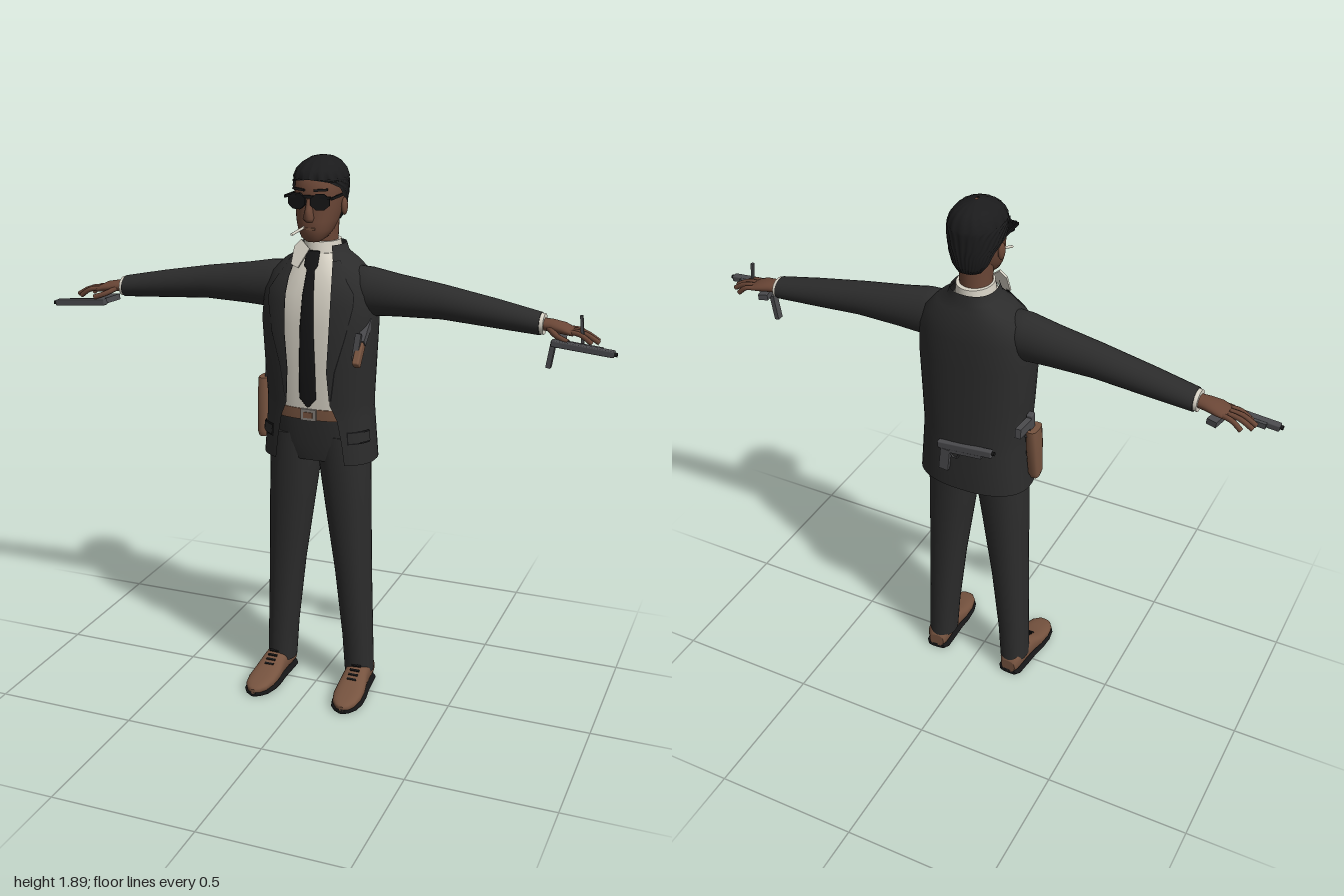
import * as THREE from 'three';
import { RoundedBoxGeometry } from 'three/addons/geometries/RoundedBoxGeometry.js';

const paint = (name, color) => new THREE.MeshStandardMaterial({ name, color, side: THREE.DoubleSide });

export function createModel() {
  const model = new THREE.Group();
  model.name = 'suitedMan';
  const suit = paint('suit charcoal', 0x2c2c2c), black = paint('black', 0x151516);
  const shirt = paint('shirt white', 0xd8d3c6), skin = paint('skin brown', 0x6a4636);
  const hairMat = paint('hair black', 0x1b1b1c), leather = paint('leather brown', 0x76533f);
  const metal = paint('gunmetal', 0x4b4b4e), silver = paint('buckle grey', 0x85807a);

  const add = (name, geo, mat, parent = model) => {
    const m = new THREE.Mesh(geo, mat);
    m.name = name;
    parent.add(m);
    return m;
  };
  // Reflected copy with corner order restored
  const mirror = (geo) => {
    const g = geo.index ? geo.clone() : geo.toNonIndexed();
    g.scale(-1, 1, 1);
    if (!g.index) g.setIndex([...Array(g.attributes.position.count).keys()]);
    const ix = g.index.array;
    for (let i = 0; i < ix.length; i += 3) [ix[i], ix[i + 1]] = [ix[i + 1], ix[i]];
    return g;
  };
  const both = (name, geo, mat) => {
    add(name + 'Left', geo, mat);
    add(name + 'Right', mirror(geo), mat);
  };
  const box = (w, h, d, x, y, z, rx = 0, ry = 0, rz = 0) =>
    new THREE.BoxGeometry(w, h, d).rotateX(rx).rotateY(ry).rotateZ(rz).translate(x, y, z);
  const tube = (r, ...pts) => new THREE.TubeGeometry(
    new THREE.CatmullRomCurve3(pts.map((p) => new THREE.Vector3(...p))), 8, r, 8);

  // Skin over a stack of point rings
  function loft(rings, closed = true, caps = closed) {
    const pos = rings.flat(2), idx = [], n = rings[0].length, cols = closed ? n : n - 1;
    for (let k = 0; k < rings.length - 1; k++) for (let i = 0; i < cols; i++) {
      const a = k * n + i, b = k * n + (i + 1) % n;
      idx.push(a, b, a + n, b, b + n, a + n);
    }
    if (caps) [rings[0], rings[rings.length - 1]].forEach((ring, end) => {
      const base = pos.length / 3;
      pos.push(...ring.flat());
      for (let i = 1; i < n - 1; i++) idx.push(base, base + (end ? i : i + 1), base + (end ? i + 1 : i));
    });
    const g = new THREE.BufferGeometry();
    g.setAttribute('position', new THREE.Float32BufferAttribute(pos, 3));
    g.setIndex(idx);
    g.computeVertexNormals();
    return g;
  }
  const pw = (v, e) => Math.sign(v) * Math.abs(v) ** e;
  const ovalPoint = (a, y, rx, rz, cx, cz, p) =>
    [cx + rx * pw(Math.sin(a), 2 / p), y, cz + rz * pw(Math.cos(a), 2 / p)];
  const oval = (y, rx, rz, cx, cz, p = 2, n = 28) =>
    Array.from({ length: n }, (_, i) => ovalPoint(i / n * Math.PI * 2, y, rx, rz, cx, cz, p));
  // Rows: height, half width, front z, back z
  const body = (rows, p = 2) => loft(rows.map(([y, rx, f, b]) => oval(y, rx, (f - b) / 2, 0, (f + b) / 2, p)));

  // Jacket: height, half width, front z, back z, half width of the opening
  const jacketRows = [
    [0.87, 0.2, 0.08, -0.18, 0.125], [0.95, 0.193, 0.08, -0.18, 0.115], [1.03, 0.187, 0.08, -0.178, 0.1],
    [1.08, 0.185, 0.083, -0.177, 0.078], [1.2, 0.192, 0.09, -0.175, 0.07], [1.35, 0.2, 0.095, -0.175, 0.08],
    [1.45, 0.194, 0.08, -0.175, 0.08], [1.51, 0.168, 0.058, -0.168, 0.075], [1.55, 0.125, 0.035, -0.155, 0.068],
    [1.575, 0.085, 0.018, -0.148, 0.058], [1.605, 0.074, 0.01, -0.143, 0.052]];
  const jacketAt = (y) => {
    let k = 0;
    while (k < jacketRows.length - 2 && jacketRows[k + 1][0] < y) k++;
    const a = jacketRows[k], b = jacketRows[k + 1], t = (y - a[0]) / (b[0] - a[0]);
    return a.map((v, i) => v + (b[i] - v) * t);
  };
  const P = 2.4;
  const jacketPoint = (y, ang, off = 0) => {
    const [, rx, f, b] = jacketAt(y);
    return ovalPoint(ang, y, rx + off, (f - b) / 2 + off, 0, (f + b) / 2, P);
  };
  const edge = (y) => { const r = jacketAt(y); return Math.asin((r[4] / r[1]) ** (P / 2)); };
  const arc = (y, a0, a1, n, off) => Array.from({ length: n + 1 }, (_, i) => jacketPoint(y, a0 + (a1 - a0) * i / n, off));
  add('jacket', loft(jacketRows.map(([y]) => arc(y, edge(y), Math.PI * 2 - edge(y), 40, 0)), false), suit);

  // Lapels with dark edging, laid on the jacket
  const lapel = (off, grow) => loft([[1.1, 0.01], [1.2, 0.12], [1.32, 0.28], [1.42, 0.42], [1.46, 0.44], [1.5, 0.3], [1.56, 0.25]]
    .map(([y, w]) => arc(y, edge(y) - 0.01, edge(y) + w + grow, 6, off)), false);
  both('lapelEdge', lapel(0.003, 0.03), black);
  both('lapel', lapel(0.006, 0), suit);
  // Pocket flaps
  both('pocketEdge', loft([0.945, 0.99].map((y) => arc(y, 0.68, 1.32, 6, 0.004)), false), black);
  both('pocketFlap', loft([0.951, 0.986].map((y) => arc(y, 0.7, 1.3, 6, 0.008)), false), suit);

  // Shirt, collar and tie
  add('shirt', body([[1.03, 0.155, 0.065, -0.15], [1.2, 0.16, 0.075, -0.15], [1.35, 0.165, 0.079, -0.15],
    [1.45, 0.155, 0.067, -0.15], [1.53, 0.1, 0.04, -0.135], [1.58, 0.062, 0.015, -0.13]], 2.6), shirt);
  add('shirtCollar', body([[1.56, 0.066, 0.018, -0.136], [1.617, 0.06, 0.01, -0.132]]), shirt);
  const wing = new THREE.Shape([[0.012, 1.595], [0.045, 1.625], [0.066, 1.6], [0.07, 1.54], [0.045, 1.53]]
    .map((p) => new THREE.Vector2(...p)));
  both('collarWing', new THREE.ExtrudeGeometry(wing, { depth: 0.008, bevelEnabled: false })
    .translate(0, -1.57, 0).rotateX(-0.35).translate(0, 1.57, 0.032), shirt);
  add('tie', loft([[1.07, 0.004, 0.076], [1.1, 0.03, 0.079], [1.2, 0.029, 0.085], [1.35, 0.024, 0.088], [1.45, 0.02, 0.076],
    [1.53, 0.014, 0.05], [1.545, 0.024, 0.048], [1.59, 0.024, 0.026]]
    .map(([y, w, z]) => oval(y, w, 0.006, 0, z, 2.5, 12))), black);

  // Trousers, belt and buckle
  add('hips', body([[0.87, 0.14, 0.045, -0.14], [0.93, 0.165, 0.055, -0.15], [1.04, 0.165, 0.062, -0.15]], 2.3), suit);
  add('belt', body([[1.022, 0.169, 0.07, -0.155], [1.06, 0.169, 0.07, -0.155]], 2.5), leather);
  add('buckle', box(0.055, 0.04, 0.008, 0, 1.041, 0.073), silver);
  add('buckleCentre', box(0.032, 0.02, 0.004, 0, 1.041, 0.078), leather);
  both('trouserLeg', loft([[0.06, 0.15, 0.05, 0.06, -0.045], [0.2, 0.143, 0.053, 0.062, -0.044], [0.45, 0.125, 0.063, 0.072, -0.042],
    [0.7, 0.104, 0.079, 0.084, -0.041], [0.85, 0.091, 0.088, 0.092, -0.042], [0.96, 0.085, 0.085, 0.094, -0.045]]
    .map(([y, cx, rx, rz, cz]) => oval(y, rx, rz, cx, cz, 2.2))), suit);

  // Shoes: length position, half width, top height
  const shoeRows = [[-0.107, 0.028, 0.06], [-0.09, 0.04, 0.095], [-0.03, 0.043, 0.105], [0.02, 0.045, 0.092], [0.07, 0.051, 0.066],
    [0.12, 0.051, 0.053], [0.16, 0.042, 0.044], [0.183, 0.025, 0.036], [0.191, 0.008, 0.028]];
  const shoe = (lo, top, grow) => loft(shoeRows.map(([z, w, h]) => {
    const hi = top ?? h;
    return oval(z, w + grow, (hi - lo) / 2, 0, -(hi + lo) / 2, 2.6);
  })).rotateX(Math.PI / 2).rotateY(0.06).translate(0.157, 0, 0);
  both('shoe', shoe(0.01, undefined, 0), leather);
  both('sole', shoe(0, 0.018, 0.005), black);
  for (let i = 0; i < 4; i++)
    both('lace', box(0.034, 0.006, 0.007, 0.159, 0.099 - i * 0.01, 0.015 + i * 0.016, 0.5), black);

  // Sleeves and cuffs: x, y, half height, half depth, z
  const limb = (rows) => loft(rows.map(([x, y, r, rz, z]) => oval(x, r, rz, -y, z))).rotateZ(-Math.PI / 2);
  both('sleeve', limb([[0.09, 1.472, 0.045, 0.05, -0.05], [0.13, 1.462, 0.076, 0.065, -0.05], [0.18, 1.454, 0.081, 0.071, -0.05],
    [0.27, 1.448, 0.07, 0.065, -0.052], [0.42, 1.438, 0.057, 0.057, -0.055], [0.6, 1.415, 0.047, 0.05, -0.057],
    [0.745, 1.395, 0.037, 0.043, -0.058]]), suit);
  both('shirtCuff', limb([[0.735, 1.397, 0.034, 0.038, -0.058], [0.757, 1.394, 0.034, 0.038, -0.058]]), shirt);

  // Hands
  both('palm', limb([[0.745, 1.395, 0.02, 0.026, -0.058], [0.78, 1.393, 0.02, 0.032, -0.058],
    [0.82, 1.387, 0.018, 0.04, -0.058], [0.85, 1.378, 0.012, 0.037, -0.058]]), skin);
  [[-0.092, 0.9], [-0.07, 0.93], [-0.048, 0.935], [-0.028, 0.915]].forEach(([z, x]) =>
    both('finger', tube(0.0085, [0.835, 1.383, z * 0.8 - 0.012], [(x + 0.84) / 2, 1.377, z], [x, 1.352, z]), skin));
  both('thumb', tube(0.0095, [0.775, 1.388, -0.035], [0.805, 1.372, -0.01], [0.845, 1.358, 0.004]), skin);

  // Neck and head
  add('neck', body([[1.54, 0.055, 0.0, -0.12], [1.62, 0.052, 0.0, -0.115], [1.69, 0.055, 0.005, -0.12]]), skin);
  add('head', body([[1.622, 0.022, 0.048, 0.005], [1.635, 0.042, 0.06, -0.03], [1.66, 0.057, 0.066, -0.07], [1.69, 0.067, 0.066, -0.1],
    [1.73, 0.075, 0.061, -0.125], [1.78, 0.08, 0.062, -0.14], [1.82, 0.078, 0.056, -0.142], [1.86, 0.058, 0.02, -0.12]], 2.2), skin);
  add('nose', loft([[1.69, 0.012, 0.064, 0.008], [1.702, 0.018, 0.068, 0.023], [1.73, 0.012, 0.064, 0.018], [1.765, 0.008, 0.06, 0.008]]
    .map(([y, rx, z, rz]) => oval(y, rx, rz, 0, z, 2, 12))), skin);
  add('mouth', box(0.042, 0.007, 0.006, 0, 1.668, 0.066), leather);
  both('ear', new THREE.SphereGeometry(1, 14, 10).scale(0.01, 0.029, 0.018).translate(0.081, 1.73, -0.045), skin);
  both('eyebrow', box(0.045, 0.007, 0.008, 0.038, 1.793, 0.058, 0, 0.25, 0.08), hairMat);

  // Combed hair: height, half width, front z, back z, start angle behind the face
  add('hair', loft([[1.675, 0.05, 0.0, -0.135, 2.2], [1.7, 0.068, 0.04, -0.148, 2.05], [1.74, 0.08, 0.06, -0.155, 1.9],
    [1.765, 0.084, 0.066, -0.156, 1.45], [1.795, 0.087, 0.068, -0.157, 1.2], [1.815, 0.087, 0.067, -0.157, 0.75],
    [1.825, 0.086, 0.065, -0.156, 0], [1.85, 0.077, 0.05, -0.147, 0], [1.87, 0.06, 0.025, -0.13, 0],
    [1.885, 0.035, -0.01, -0.1, 0], [1.892, 0.004, -0.04, -0.06, 0]].map(([y, rx, f, b, s]) => Array.from({ length: 65 }, (_, i) => {
    const a = s + (Math.PI * 2 - 2 * s) * i / 64, k = 1 + 0.018 * Math.cos(i * Math.PI / 2);
    return ovalPoint(a, y, rx * k, (f - b) / 2 * k, 0, (f + b) / 2, 2.2);
  })), false), hairMat);

  // Sunglasses and cigarette
  both('lens', new THREE.CylinderGeometry(1, 1, 0.008, 8).rotateY(Math.PI / 8).rotateX(Math.PI / 2)
    .scale(0.034, 0.028, 1).rotateY(0.18).translate(0.04, 1.757, 0.069), black);
  add('glassesBridge', box(0.15, 0.009, 0.008, 0, 1.772, 0.069), black);
  both('glassesArm', box(0.005, 0.009, 0.125, 0.08, 1.77, 0.01), black);
  add('cigarette', tube(0.0045, [-0.018, 1.671, 0.062], [-0.028, 1.664, 0.09], [-0.038, 1.656, 0.12]), shirt);

  // Pistol: barrel along dir, sights along up
  function pistol(name, at, dir, up, gripMat = metal) {
    const g = new THREE.Group();
    g.name = name;
    const x = new THREE.Vector3(...dir).normalize(), z = x.clone().cross(new THREE.Vector3(...up)).normalize();
    g.applyMatrix4(new THREE.Matrix4().makeBasis(x, z.clone().cross(x), z).setPosition(...at));
    add('slide', new RoundedBoxGeometry(0.2, 0.026, 0.021, 2, 0.004), metal, g);
    add('frame', box(0.15, 0.014, 0.018, -0.015, -0.017, 0), metal, g);
    add('muzzle', new THREE.CylinderGeometry(0.007, 0.007, 0.012, 10).rotateZ(Math.PI / 2).translate(0.103, 0.002, 0), black, g);
    add('grip', box(0.034, 0.085, 0.02, -0.08, -0.055, 0, 0, 0, -0.2), gripMat, g);
    add('triggerGuard', new THREE.TorusGeometry(0.014, 0.003, 6, 14).translate(-0.042, -0.032, 0), metal, g);
    model.add(g);
  }
  pistol('rightHandPistol', [-0.894, 1.337, 0.01], [-1, -0.09, 0], [0, 0, 1]);
  pistol('leftHandPistol', [0.894, 1.345, 0.01], [1, -0.09, 0], [0, 0, 1]);
  add('leftPistolMagazine', box(0.016, 0.09, 0.024, 0.785, 1.302, -0.045, 0, 0, -0.15), metal);
  add('leftPistolLever', box(0.009, 0.1, 0.01, 0.882, 1.39, -0.03, 0, 0, 0.1), metal);
  pistol('backPistol', [-0.02, 1.05, -0.182], [-1, 0.1, 0], [0, 1, 0]);
  pistol('hipPistol', [-0.2, 1.075, -0.055], [0, -1, 0.1], [0, 0, 1], metal);

  // Hip holster and underarm pistol
  add('hipHolster', loft([[0.91, 0.014, 0.02, -0.04], [0.93, 0.02, 0.028, -0.042], [1.05, 0.022, 0.036, -0.055], [1.12, 0.02, 0.036, -0.062]]
    .map(([y, rx, rz, cz]) => oval(y, rx, rz, -0.212, cz, 3, 16))), leather);
  add('underarmGrip', new RoundedBoxGeometry(0.024, 0.11, 0.034, 2, 0.006).rotateX(-0.65).translate(0.178, 1.28, 0.068), leather);
  add('underarmSlide', box(0.024, 0.11, 0.026, 0.182, 1.34, 0.02, -0.85), metal);
  add('underarmMagazine', box(0.02, 0.09, 0.012, 0.172, 1.295, 0.078, -0.15, 0, -0.1), metal);
  return model;
}
